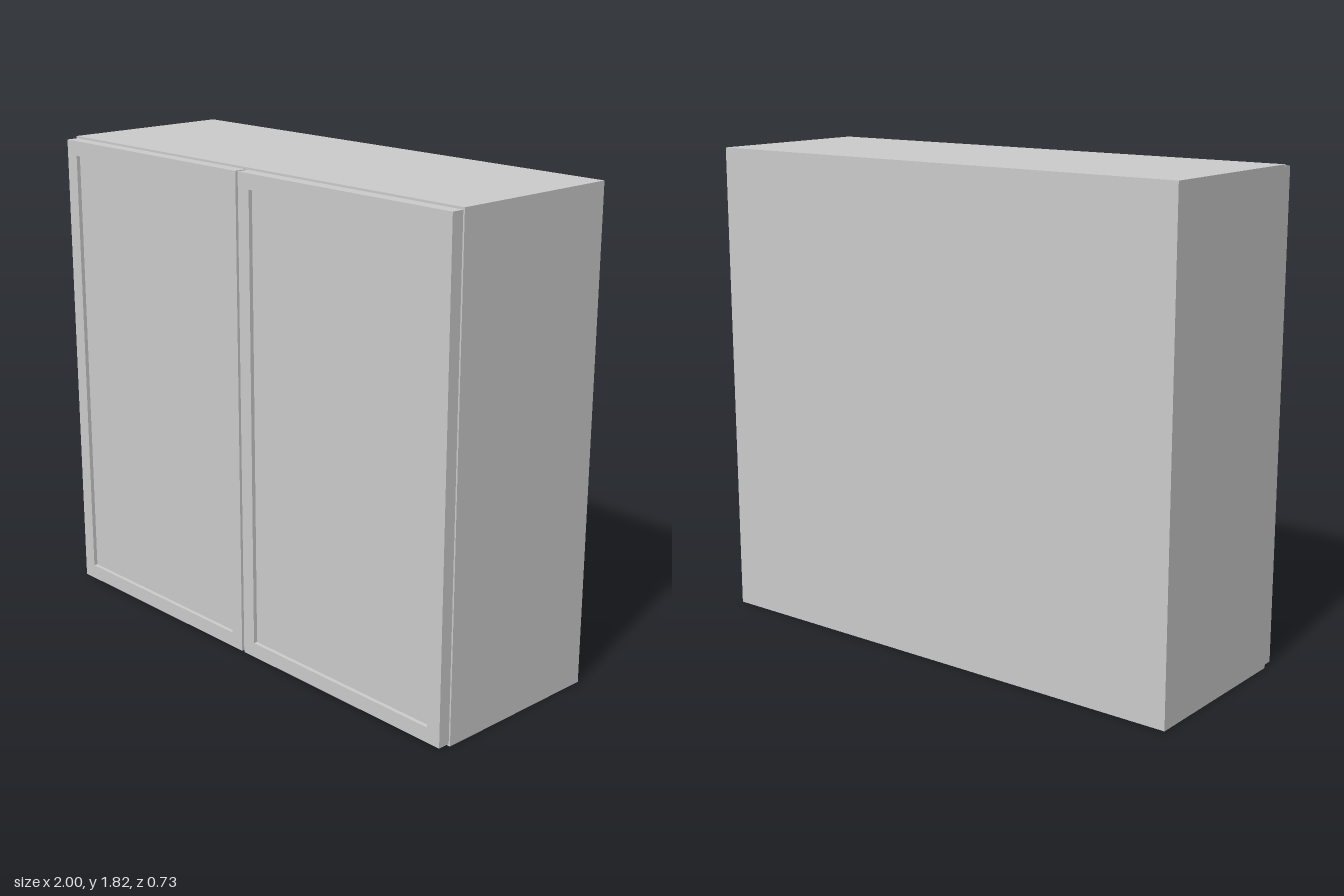
import * as THREE from 'three';

const W = 2, H = 1.82, T = 0.036;        // cabinet width, height, board thickness
const BACK = -0.365, FRONT = 0.318, DOOR_FRONT = 0.365;

export function createModel() {
  const model = new THREE.Group();
  model.name = 'wallCabinet';
  const material = new THREE.MeshStandardMaterial({ color: 0xcccccc });

  // Box given by its limits on each axis
  function board(name, x0, x1, y0, y1, z0, z1, parent = model) {
    const mesh = new THREE.Mesh(new THREE.BoxGeometry(x1 - x0, y1 - y0, z1 - z0), material);
    mesh.position.set((x0 + x1) / 2, (y0 + y1) / 2, (z0 + z1) / 2);
    mesh.name = name;
    parent.add(mesh);
  }

  function rectangle(x0, x1, y0, y1, Path) {
    return new Path([[x0, y0], [x1, y0], [x1, y1], [x0, y1]].map(p => new THREE.Vector2(...p)));
  }

  // Carcass: sides run full height, the other boards sit between them
  const inner = W / 2 - T;
  board('leftSide', inner, W / 2, 0, H, BACK, FRONT);
  board('rightSide', -W / 2, -inner, 0, H, BACK, FRONT);
  board('bottomBoard', -inner, inner, 0, T, BACK, FRONT);
  board('topBoard', -inner, inner, H - T, H, BACK, FRONT);
  board('backPanel', -inner, inner, T, H - T, BACK, BACK + 0.02);
  board('shelf', -inner, inner, 0.892, 0.928, BACK + 0.02, FRONT - 0.02);

  // Framed doors with a recessed centre panel
  const x0 = 0.006, x1 = 0.994, y0 = 0.008, y1 = H - 0.008, rail = 0.056;
  for (const [name, offset] of [['leftDoor', 0], ['rightDoor', -1]]) {
    const door = new THREE.Group();
    door.name = name;
    door.position.x = offset;

    const outline = rectangle(x0, x1, y0, y1, THREE.Shape);
    outline.holes.push(rectangle(x0 + rail, x1 - rail, y0 + rail, y1 - rail, THREE.Path));
    const frame = new THREE.Mesh(
      new THREE.ExtrudeGeometry(outline, { depth: DOOR_FRONT - FRONT, bevelEnabled: false }), material);
    frame.position.z = FRONT;
    frame.name = 'doorFrame';
    door.add(frame);

    board('doorPanel', x0 + rail, x1 - rail, y0 + rail, y1 - rail, FRONT, DOOR_FRONT - 0.015, door);
    model.add(door);
  }
  return model;
}
